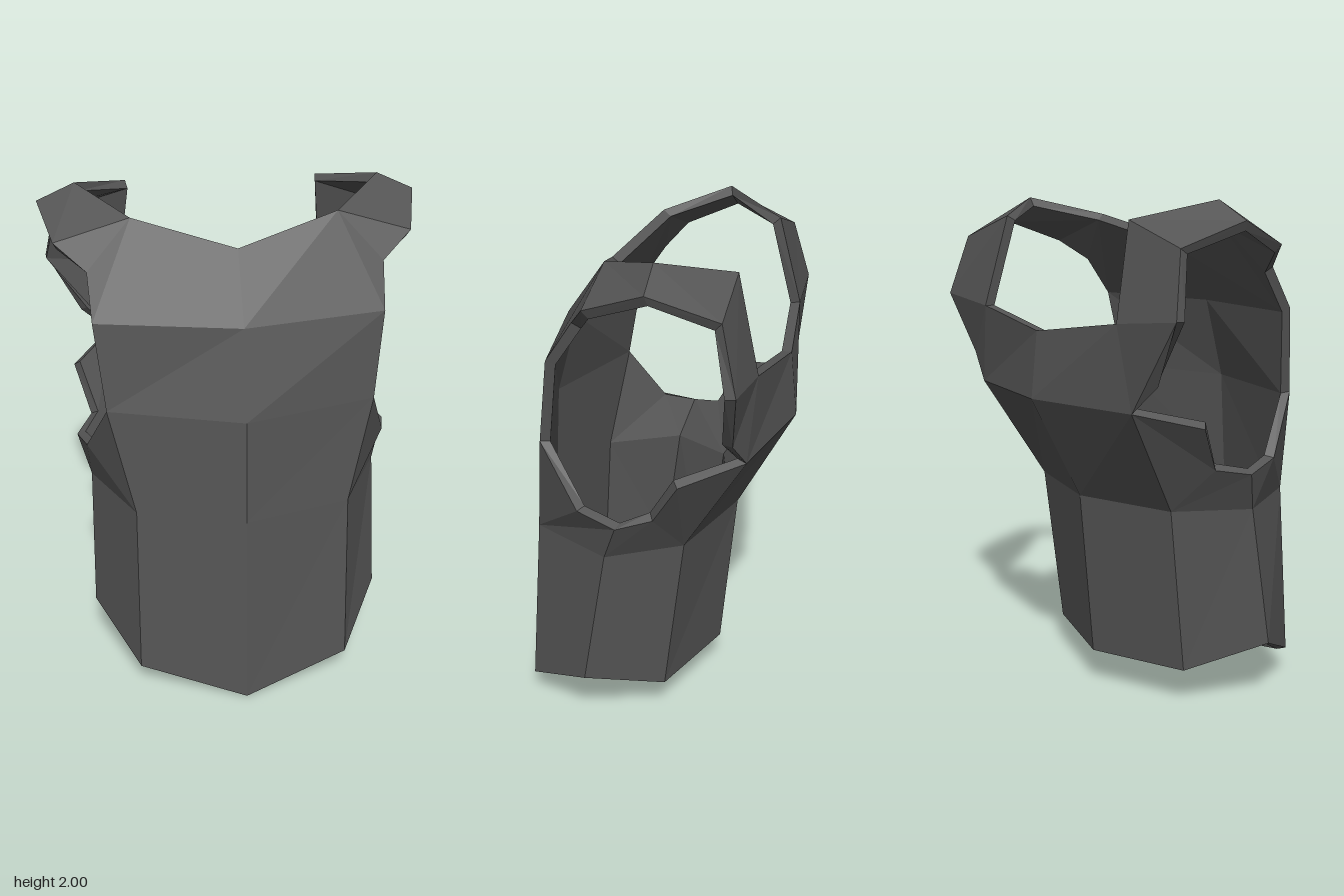
import * as THREE from 'three';

const THICKNESS = 0.04;

// Left half of the outer surface, row by row from the hem up, front to back
const rows = {
  hem: [[0, 0, 0.55], [0.43, 0.11, 0.44], [0.605, 0.26, 0.15], [0.41, 0.155, -0.13], [0, 0.15, -0.27]], // 0-4
  waist: [[0, 0.83, 0.51], [0.42, 0.83, 0.39], [0.59, 0.83, 0.06], [0.42, 0.83, -0.21], [0, 0.83, -0.33]], // 5-9
  chest: [[0, 1.25, 0.485], [0.515, 1.25, 0.33]], // 10-11
  underarm: [[0.6, 1.02, 0.16], [0.64, 0.985, 0], [0.58, 1.01, -0.13], [0.64, 1.19, -0.24]], // 12-15
  back: [[0.49, 1.25, -0.46], [0, 1.25, -0.555]], // 16-17
  upperFront: [[0, 1.59, 0.39], [0.55, 1.59, 0.28]], // 18-19
  upperBack: [[0.43, 1.57, -0.48], [0, 1.51, -0.525], [0.6, 1.36, -0.43], [0.735, 1.6, -0.465]], // 20-23
  strap: [[0, 1.83, 0.2], [0.39, 1.93, 0.1], [0.68, 1.84, 0.09], [0.59, 2, -0.14], [0.74, 1.93, -0.15],
    [0.39, 1.93, -0.39], [0.68, 1.84, -0.4], [0.56, 1.75, 0.17]], // 24-31
};

const halfFaces = [
  // lower body
  [0, 1, 6, 5], [1, 2, 7, 6], [2, 3, 8, 7], [3, 4, 9, 8],
  // ribs and underarm
  [5, 6, 11, 10], [6, 12, 11], [6, 7, 13, 12], [7, 8, 14, 13], [8, 16, 15, 14], [8, 9, 17, 16],
  // chest and upper back
  [10, 11, 19, 18], [18, 19, 25, 24], [19, 31, 25], [31, 26, 25], [16, 17, 21, 20], [20, 23, 22, 16],
  // shoulder strap
  [25, 26, 28, 27], [27, 28, 30, 29], [29, 30, 23, 20],
];

// Mirror the half across x = 0, sharing the centre points
function mirrorHalf() {
  const points = Object.values(rows).flat().map((p) => new THREE.Vector3(...p));
  const twin = points.slice().map((p, i) => {
    if (p.x === 0) return i;
    return points.push(new THREE.Vector3(-p.x, p.y, p.z)) - 1;
  });
  const mirrored = halfFaces.map((f) => f.map((i) => twin[i]).reverse());
  return { points, faces: [...halfFaces, ...mirrored] };
}

const triangulate = (faces) =>
  faces.flatMap((f) => (f.length === 3 ? [f] : [[f[0], f[1], f[2]], [f[0], f[2], f[3]]]));

// Flat-faced geometry from shared points and triangles
function faceted(points, triangles) {
  const geometry = new THREE.BufferGeometry().setFromPoints(triangles.flat().map((i) => points[i]));
  geometry.computeVertexNormals();
  return geometry;
}

export function createModel() {
  const vest = new THREE.Group();
  vest.name = 'vest';
  const material = new THREE.MeshStandardMaterial({ color: 0x555555, flatShading: true });

  const { points, faces } = mirrorHalf();
  const triangles = triangulate(faces);
  const count = points.length;

  // Lining points: outer points pushed inwards along their averaged normals
  const normals = points.map(() => new THREE.Vector3());
  for (const [a, b, c] of triangles) {
    const n = points[b].clone().sub(points[a]).cross(points[c].clone().sub(points[a]));
    for (const i of [a, b, c]) normals[i].add(n);
  }
  const all = [...points, ...points.map((p, i) => p.clone().addScaledVector(normals[i].normalize(), -THICKNESS))];

  // Rim: bridges every open edge (hem, neck and armholes) to the lining
  const edges = faces.flatMap((f) => f.map((a, i) => [a, f[(i + 1) % f.length]]));
  const used = new Set(edges.map((e) => e.join()));
  const rim = edges.filter(([a, b]) => !used.has(`${b},${a}`)).map(([a, b]) => [b, a, a + count, b + count]);

  const parts = {
    outerShell: triangles,
    lining: triangles.map((t) => t.map((i) => i + count).reverse()),
    rim: triangulate(rim),
  };
  for (const [name, tris] of Object.entries(parts)) {
    const mesh = new THREE.Mesh(faceted(all, tris), material);
    mesh.name = name;
    vest.add(mesh);
  }
  return vest;
}
